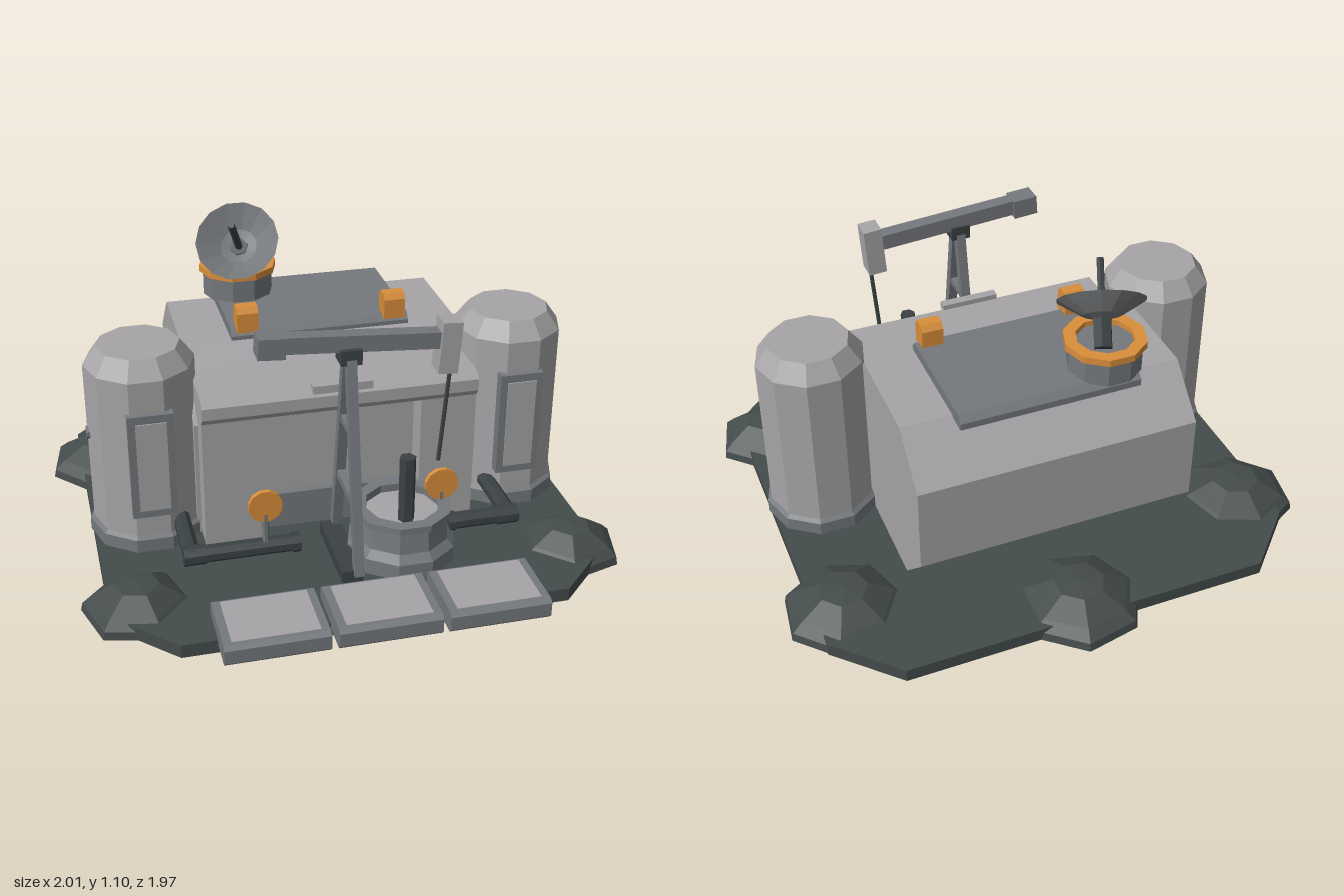
import * as THREE from 'three';

const mat = (name, color, extra = {}) => Object.assign(new THREE.MeshStandardMaterial({ color, ...extra }), { name });

export function createModel() {
  const light = mat('lightPanel', 0xa6a4a6);
  const grey = mat('midGrey', 0x74787c);
  const dark = mat('darkSteel', 0x3b4244);
  const ground = mat('groundSlate', 0x444c4b);
  const orange = mat('signalOrange', 0xd98e3a);
  const dishGrey = mat('dishGrey', 0x74777a, { side: THREE.DoubleSide });

  const model = new THREE.Group();
  model.name = 'outpost';
  const CX = 0.01; // building centre line

  // Faceted mesh helper
  const add = (name, geo, material, x = 0, y = 0, z = 0, parent = model) => {
    const g = geo.index ? geo.toNonIndexed() : geo;
    g.computeVertexNormals();
    const m = new THREE.Mesh(g, material);
    m.name = name;
    m.position.set(x, y, z);
    parent.add(m);
    return m;
  };
  // Box given by its limits
  const box = (name, material, x0, x1, y0, y1, z0, z1) =>
    add(name, new THREE.BoxGeometry(x1 - x0, y1 - y0, z1 - z0), material, (x0 + x1) / 2, (y0 + y1) / 2, (z0 + z1) / 2);
  // Side profile of [z, y] points swept across x0..x1
  const prism = (name, material, pts, x0, x1) => {
    const shape = new THREE.Shape(pts.map(p => new THREE.Vector2(...p)));
    const g = new THREE.ExtrudeGeometry(shape, { depth: x1 - x0, bevelEnabled: false });
    g.rotateY(-Math.PI / 2);
    return add(name, g, material, x1);
  };
  // Turned part from [radius, y] points, bottom to top
  const turned = (name, material, pts, sides, x, z, turn = Math.PI / sides) => {
    const g = new THREE.LatheGeometry(pts.map(p => new THREE.Vector2(...p)), sides);
    return add(name, g.rotateY(turn), material, x, 0, z);
  };
  // Bar between two points: round with n sides, or square when n = 4
  const bar = (name, material, a, b, r, sides = 8) => {
    const A = new THREE.Vector3(...a), B = new THREE.Vector3(...b), d = B.clone().sub(A);
    const g = new THREE.CylinderGeometry(r, r, d.length(), sides);
    g.rotateY(Math.PI / sides);
    const m = add(name, g, material);
    m.position.copy(A).add(B).multiplyScalar(0.5);
    m.quaternion.setFromUnitVectors(new THREE.Vector3(0, 1, 0), d.normalize());
    return m;
  };

  // Ground slab with cut corners
  const slab = new THREE.Shape([
    [-0.89, -0.65], [-0.68, -0.86], [0.69, -0.86], [0.905, -0.65],
    [0.905, 0.66], [0.69, 0.873], [-0.68, 0.873], [-0.89, 0.66],
  ].map(p => new THREE.Vector2(...p)));
  add('groundSlab', new THREE.ExtrudeGeometry(slab, { depth: 0.05, bevelEnabled: false }).rotateX(-Math.PI / 2), ground);

  // Rocks around the edge
  [[0, -0.76, 0.235, 7, 0.2], [-0.79, -0.48, 0.225, 7, 0.5], [0.79, -0.48, 0.225, 7, 0.1],
    [-0.785, 0.56, 0.2, 6, 0.3], [0.81, 0.56, 0.195, 6, 0.8]].forEach(([x, z, r, n, turn]) =>
    turned('rock', ground, [[r, 0], [r * 0.97, 0.03], [r * 0.8, 0.06], [r * 0.4, 0.11], [0, 0.12]], n, x, z, turn));

  // Main hall
  prism('hall', light, [[0.2, 0.05], [0.2, 0.5], [-0.03, 0.72], [-0.425, 0.72], [-0.595, 0.555],
    [-0.595, 0.225], [-0.425, 0.05]], CX - 0.525, CX + 0.525);
  prism('frontHeader', light, [[0.04, 0.55], [0.29, 0.55], [0.31, 0.575], [0.31, 0.62], [0.285, 0.645], [0.04, 0.645]], CX - 0.51, CX + 0.51);
  for (const s of [-1, 1]) {
    const a = CX + s * 0.3, b = CX + s * 0.51;
    box('frontPier', light, Math.min(a, b), Math.max(a, b), 0.05, 0.55, 0.1, 0.29);
  }
  box('doorStep', grey, CX - 0.3, CX + 0.3, 0.05, 0.19, 0.18, 0.23);
  box('headerLamp', light, -0.1, 0.12, 0.635, 0.665, 0.28, 0.315);

  // Roof plate and warning lamps
  prism('roofPlate', grey, [[-0.015, 0.72], [-0.015, 0.735], [-0.035, 0.76], [-0.48, 0.76], [-0.505, 0.735], [-0.505, 0.71]], -0.33, 0.345);
  for (const x of [-0.27, 0.288])
    prism('warningLamp', orange, [[-0.005, 0.75], [-0.005, 0.825], [-0.02, 0.847], [-0.06, 0.847], [-0.078, 0.825], [-0.078, 0.75]], x - 0.04, x + 0.04);

  // Corner towers with framed panels
  for (const s of [-1, 1]) {
    const x = CX + s * 0.695, z = 0.08;
    turned('towerFoot', grey, [[0.215, 0.05], [0.215, 0.1], [0.2, 0.112], [0, 0.112]], 10, x, z);
    turned('tower', light, [[0.2, 0.1], [0.2, 0.73], [0.15, 0.798], [0, 0.798]], 10, x, z);
    const px = x - s * 0.008;
    box('panelFrame', grey, px - 0.082, px + 0.082, 0.2, 0.61, 0.24, 0.292);
    box('panelFace', light, px - 0.055, px + 0.055, 0.23, 0.58, 0.29, 0.297);
  }
  bar('towerPort', grey, [-0.86, 0.46, 0.08], [-0.89, 0.46, 0.08], 0.025, 8);

  // Dish turret
  const tx = -0.235, tz = -0.395;
  turned('turretBase', grey, [[0.135, 0.755], [0.135, 0.855], [0, 0.855]], 10, tx, tz);
  turned('turretRing', orange, [[0.105, 0.85], [0.15, 0.85], [0.15, 0.876], [0.105, 0.876], [0.105, 0.85]], 10, tx, tz);
  const n = new THREE.Vector3(-0.25, 0.69, 0.68).normalize();
  const centre = new THREE.Vector3(-0.245, 0.985, -0.335);
  const at = t => centre.clone().addScaledVector(n, t).toArray();
  const bowl = add('dish', new THREE.LatheGeometry(
    [[0.001, -0.075], [0.07, -0.055], [0.125, -0.022], [0.16, 0]].map(p => new THREE.Vector2(...p)), 14), dishGrey);
  bowl.position.copy(centre);
  bowl.quaternion.setFromUnitVectors(new THREE.Vector3(0, 1, 0), n);
  bar('dishFeed', dark, at(-0.07), at(0.15), 0.014, 6);
  bar('dishNeck', dark, at(-0.17), at(-0.06), 0.035, 6);

  // Pump: A-frame, walking beam and rod
  const fx = -0.017, fz = 0.485;
  box('pumpSled', dark, -0.075, 0, 0.05, 0.1, 0.31, 0.65);
  for (const s of [-1, 1])
    bar('pumpLeg', grey, [fx, 0.08, fz + s * 0.165], [fx, 0.86, fz + s * 0.022], 0.025, 4);
  box('upperBrace', grey, fx - 0.015, fx + 0.015, 0.585, 0.61, fz - 0.07, fz + 0.07);
  box('lowerBrace', grey, fx - 0.015, fx + 0.015, 0.33, 0.36, fz - 0.11, fz + 0.11);
  box('beamBearing', dark, fx - 0.037, fx + 0.037, 0.84, 0.895, fz - 0.04, fz + 0.04);
  const beam = new THREE.Group();
  beam.name = 'walkingBeam';
  beam.position.set(fx, 0.912, 0.48);
  beam.rotation.z = -0.07;
  model.add(beam);
  add('beam', new THREE.BoxGeometry(0.62, 0.06, 0.055), grey, 0.02, 0, 0, beam);
  add('counterweight', new THREE.BoxGeometry(0.095, 0.075, 0.08), grey, -0.27, -0.005, 0, beam);
  add('beamHead', new THREE.BoxGeometry(0.07, 0.19, 0.08), light, 0.352, -0.025, 0, beam);
  bar('pumpRod', dark, [0.345, 0.78, 0.485], [0.315, 0.41, 0.485], 0.008, 6);

  // Wellhead
  turned('wellBase', grey, [[0.2, 0.05], [0.2, 0.11], [0.175, 0.14], [0.165, 0.22], [0.182, 0.225], [0.182, 0.25],
    [0.135, 0.25], [0.135, 0.22]], 10, 0.185, 0.485);
  turned('wellCover', light, [[0.14, 0.22], [0, 0.225]], 10, 0.185, 0.485);
  bar('wellPipe', dark, [0.182, 0.2, 0.55], [0.182, 0.475, 0.55], 0.03, 6);

  // Pipes with flanges and valve wheels
  for (const [xo, xi, vx] of [[-0.58, -0.19, -0.315], [0.6, 0.36, 0.33]]) {
    const s = Math.sign(xo);
    bar('pipeRun', dark, [xo, 0.14, 0.48], [xi, 0.14, 0.48], 0.032);
    bar('pipeFeed', dark, [xo, 0.14, 0.22], [xo, 0.14, 0.5], 0.032);
    bar('pipeElbow', dark, [xo - s * 0.05, 0.14, 0.48], [xo + s * 0.03, 0.14, 0.48], 0.037);
    bar('pipeFlange', dark, [xi, 0.14, 0.48], [xi + s * 0.03, 0.14, 0.48], 0.037);
    bar('valveStem', grey, [vx, 0.15, 0.488], [vx, 0.28, 0.488], 0.012, 6);
    bar('valveWheel', orange, [vx, 0.312, 0.48], [vx, 0.312, 0.498], 0.062, 12);
  }

  // Landing pads at the front
  for (const x of [-0.376, 0.009, 0.393]) {
    prism('padFrame', grey, [[0.71, 0.045], [0.725, 0.03], [0.97, 0.03], [0.985, 0.045], [0.985, 0.095], [0.97, 0.108],
      [0.725, 0.108], [0.71, 0.095]], x - 0.179, x + 0.179);
    box('padFace', light, x - 0.15, x + 0.15, 0.106, 0.112, 0.735, 0.96);
  }
  return model;
}
